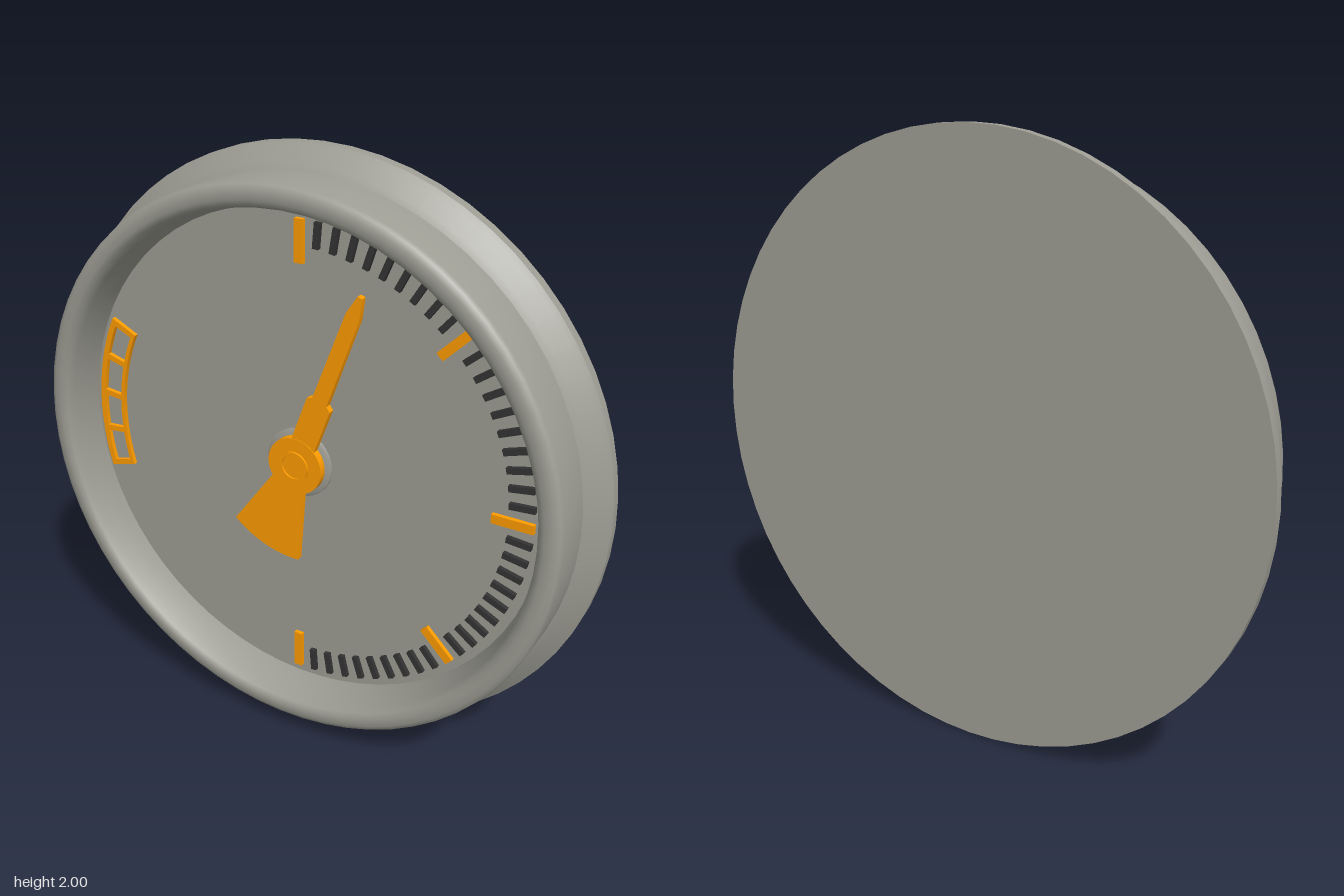
import * as THREE from 'three';
import { toCreasedNormals } from 'three/addons/utils/BufferGeometryUtils.js';

const grey = new THREE.MeshStandardMaterial({ color: 0x9d9d94 });
const orange = new THREE.MeshStandardMaterial({ color: 0xff9c00 });
const dark = new THREE.MeshStandardMaterial({ color: 0x333333 });
const DIAL_Z = -0.01;
const rad = THREE.MathUtils.degToRad;

function mesh(name, geometry, material) {
  const m = new THREE.Mesh(geometry, material);
  m.name = name;
  return m;
}

// Disc-like solid turned about the z axis from [radius, z] points
function turned(points, segments, crease) {
  const g = new THREE.LatheGeometry(points.map(([r, z]) => new THREE.Vector2(r, z)), segments);
  g.rotateX(Math.PI / 2);
  return toCreasedNormals(g, rad(crease));
}

function extruded(shape, depth, z) {
  const g = new THREE.ExtrudeGeometry(shape, { depth, bevelEnabled: false, curveSegments: 24 });
  g.translate(0, 0, z);
  return toCreasedNormals(g, rad(28));
}

// Closed ring segment between two radii and two angles
function sector(path, r0, r1, a0, a1) {
  path.absarc(0, 0, r1, a0, a1, false);
  path.absarc(0, 0, r0, a1, a0, true);
  path.closePath();
  return path;
}

export function createModel() {
  const root = new THREE.Group();
  root.name = 'dialGauge';
  const face = new THREE.Group();
  face.name = 'gauge';
  face.position.y = 1;
  root.add(face);

  // Case: back plate, flared flange, rounded bezel and recessed dial
  face.add(mesh('case', turned([
    [0, -0.135], [1, -0.135], [1, -0.1], [0.985, -0.088], [0.948, -0.05], [0.93, -0.038],
    [0.93, 0.108], [0.925, 0.124], [0.908, 0.133],
    [0.88, 0.135], [0.861, 0.126], [0.85, 0.1], [0.836, 0.02], [0.834, DIAL_Z], [0, DIAL_Z],
  ], 64, 50), grey));

  // Graduations down the right half, every tenth one long
  const ticks = new THREE.Group();
  ticks.name = 'graduations';
  for (let i = 0; i <= 40; i++) {
    const major = i % 10 === 0;
    const inner = major ? 0.668 : 0.722;
    const length = 0.803 - inner;
    const tick = mesh(major ? 'majorTick' : 'minorTick',
      new THREE.BoxGeometry(major ? 0.03 : 0.02, length, 0.03), major ? orange : dark);
    const a = rad(90 - i * 4.5);
    const r = inner + length / 2;
    tick.position.set(r * Math.cos(a), r * Math.sin(a), DIAL_Z);
    tick.rotation.z = a - Math.PI / 2;
    ticks.add(tick);
  }
  face.add(ticks);

  // Curved ladder-shaped zone marker on the left, four open cells
  const stops = [154.5, 165, 175.2, 185.2, 195.7].map(rad);
  const zone = sector(new THREE.Shape(), 0.71, 0.812, stops[0], stops[4]);
  const bar = 0.013;
  for (let i = 0; i < 4; i++) {
    const a0 = stops[i] + (i === 0 ? 2 * bar : bar);
    const a1 = stops[i + 1] - (i === 3 ? 2 * bar : bar);
    zone.holes.push(sector(new THREE.Path(), 0.724, 0.792, a0, a1));
  }
  face.add(mesh('zoneMarker', extruded(zone, 0.025, DIAL_Z - 0.01), orange));

  // Spindle base under the pointer
  face.add(mesh('spindleBase',
    turned([[0.118, DIAL_Z - 0.01], [0.118, -0.002], [0.108, 0.003], [0, 0.003]], 40, 28), grey));

  // Pointer: stepped needle, round hub and fan-shaped counterweight
  const pointer = new THREE.Group();
  pointer.name = 'pointer';
  pointer.rotation.z = rad(-20);
  const half = [[0.044, 0.06], [0.044, 0.25], [0.027, 0.262], [0.024, 0.58], [0.008, 0.648]];
  const outline = [...half, ...half.map(([x, y]) => [-x, y]).reverse()];
  const needle = new THREE.Shape(outline.map(([x, y]) => new THREE.Vector2(x, y)));
  pointer.add(mesh('needle', extruded(needle, 0.022, 0.005), orange));

  const fan = new THREE.Shape();
  fan.moveTo(0.055, -0.06);
  fan.lineTo(-0.055, -0.06);
  fan.absarc(0, 0, 0.35, rad(270 - 22), rad(270 + 22), false);
  fan.closePath();
  pointer.add(mesh('counterweight', extruded(fan, 0.022, 0.005), orange));

  // Hub with a raised ring around a flat centre
  pointer.add(mesh('hub', turned([
    [0, 0], [0.098, 0], [0.098, 0.029], [0.052, 0.029], [0.052, 0.036],
    [0.042, 0.036], [0.042, 0.03], [0, 0.03],
  ], 40, 28), orange));
  face.add(pointer);

  return root;
}
